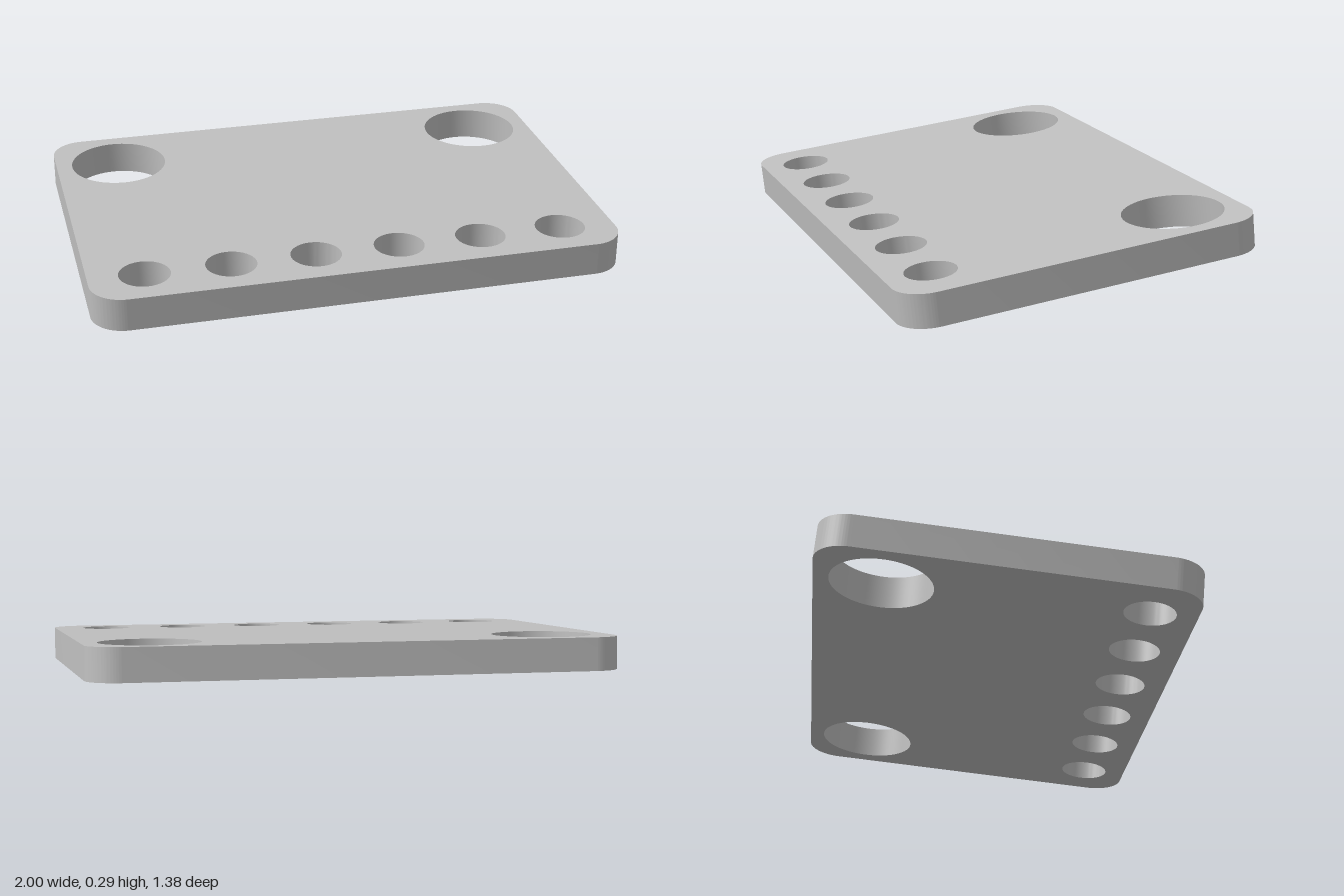
import * as THREE from 'three';
import { toCreasedNormals } from 'three/addons/utils/BufferGeometryUtils.js';

const WIDTH = 1.997, LENGTH = 1.37, THICKNESS = 0.125, CORNER = 0.125;

// Rectangle with rounded corners, centred on the origin
function roundedRect(w, h, r) {
  const x = w / 2 - r, y = h / 2 - r;
  const s = new THREE.Shape();
  s.absarc(x, y, r, 0, Math.PI / 2);
  s.absarc(-x, y, r, Math.PI / 2, Math.PI);
  s.absarc(-x, -y, r, Math.PI, Math.PI * 1.5);
  s.absarc(x, -y, r, Math.PI * 1.5, Math.PI * 2);
  s.closePath();
  return s;
}

export function createModel() {
  const grey = new THREE.MeshStandardMaterial({ color: 0xbfbfbf });
  grey.name = 'light grey';

  const outline = roundedRect(WIDTH, LENGTH, CORNER);
  const addHole = (x, z, r) => {
    const hole = new THREE.Path();
    hole.absarc(x, -z, r, 0, Math.PI * 2, true);
    outline.holes.push(hole);
  };

  // Two large holes at the back corners
  for (const side of [-1, 1]) addHole(side * 0.749, -0.441, 0.188);
  // Row of six small holes along the front
  for (let i = 0; i < 6; i++) addHole((i - 2.5) * 0.3165, 0.514, 0.0945);

  // Plate lying flat, centred on its own middle
  let geometry = new THREE.ExtrudeGeometry(outline, {
    depth: THICKNESS, bevelEnabled: false, curveSegments: 32,
  });
  geometry.translate(0, 0, -THICKNESS / 2);
  geometry.rotateX(-Math.PI / 2);
  geometry = toCreasedNormals(geometry, Math.PI / 6);

  const plate = new THREE.Mesh(geometry, grey);
  plate.name = 'perforatedPlate';
  // Gentle tilt: back and left sides raised
  plate.rotation.set(0.096, 0, 0.0195);
  plate.position.y = 0.146;

  const model = new THREE.Group();
  model.name = 'tiltedPlate';
  model.add(plate);
  return model;
}
